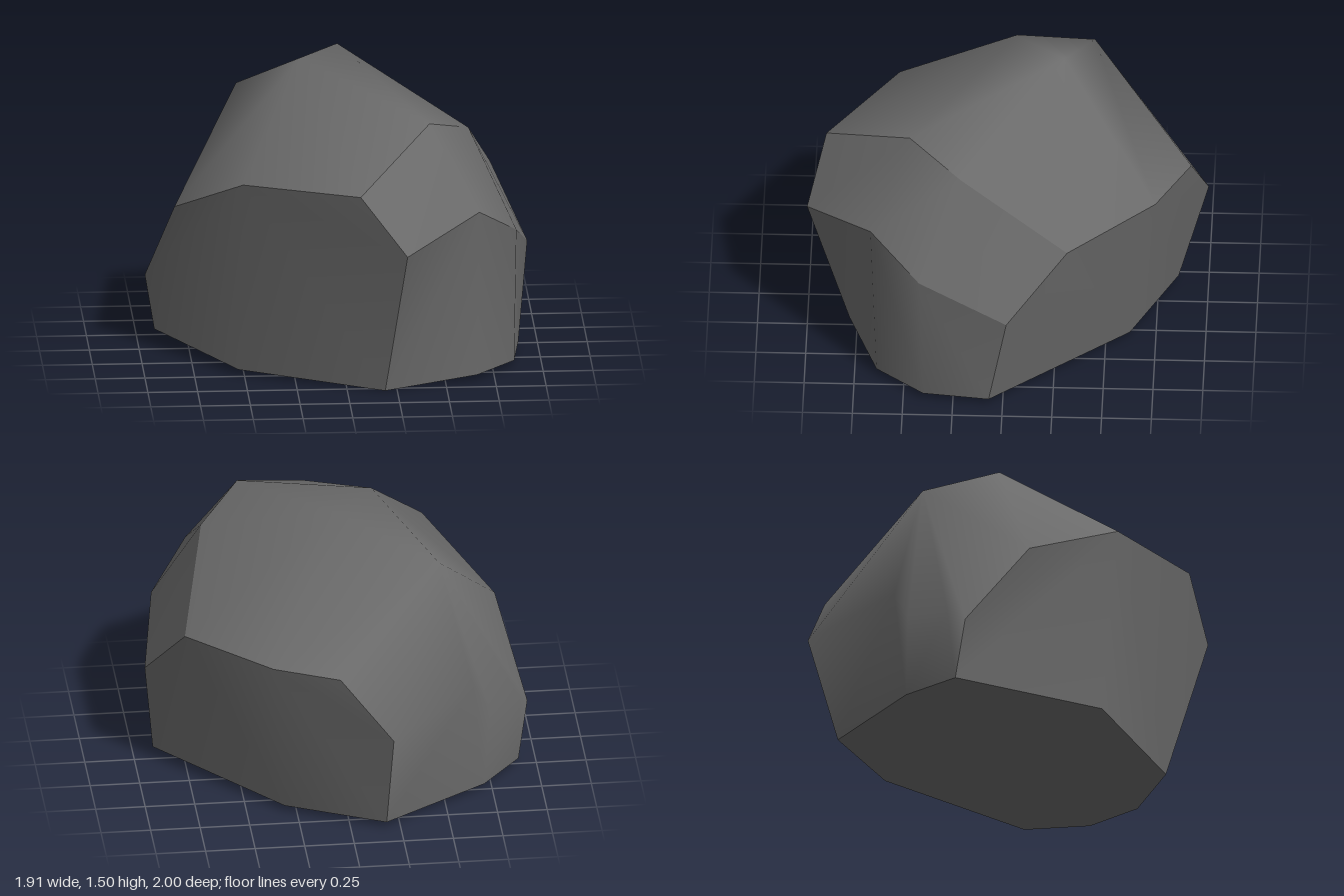
import * as THREE from 'three';

// Corner points of the boulder
const P = {
  // base ring
  a1: [-0.91, 0.03, -0.25], a2: [-0.53, 0.03, 0.48], a3: [0.19, 0, 0.79],
  a4: [0.66, 0.03, 0.64], a5: [0.86, 0.03, 0.40], a6: [0.90, 0.03, 0.07],
  a7: [0.31, 0.03, -0.62], a8: [-0.18, 0.03, -0.85], a9: [-0.71, 0.03, -0.50],
  // waist
  b1: [-0.96, 0.33, -0.20], b2: [-0.83, 0.78, 0.12], b3: [-0.51, 1.02, 0.56],
  b4: [0.06, 1.05, 0.91], b5: [0.29, 0.76, 1.0], b6: [0.67, 0.89, 0.67],
  b7: [0.87, 0.72, 0.42], b8: [0.95, 0.53, -0.02], b9: [0.78, 0.86, -0.32],
  c1: [0.38, 0.88, -0.75], c2: [0.06, 0.89, -0.92], c3: [-0.20, 0.57, -1.0],
  c4: [-0.65, 0.62, -0.56], c5: [-0.74, 0.45, -0.49], c6: [-0.91, 0.40, -0.29],
  // crown
  d1: [0.43, 1.30, 0.48], d2: [0.64, 1.20, 0.22], d3: [-0.19, 1.50, -0.04],
  d4: [0.01, 1.50, -0.28], d5: [-0.49, 1.26, -0.42],
};

// Each patch is smooth inside and sharp against its neighbours
const patches = {
  base: ['a1 a2 a3 a4 a5 a6 a7 a8 a9'],
  frontFace: ['b3 b4 b5 a3 a2 a1 b1 b2'],
  sideFace: ['b6 b5 a3 a4', 'b6 a4 a5 b7', 'b7 a5 a6 b8'],
  chamferFace: ['d1 b4 b5 b6', 'd2 d1 b6 b7', 'd2 b7 b8 b9'],
  backFace: ['b9 b8 a6 a7', 'b9 a7 c1', 'c1 a7 a8 c3 c2'],
  crown: [
    'b4 d1 d3 b3', 'd1 d2 d4 d3', 'd2 b9 d4', 'b9 c1 d4', 'd4 c1 d5', 'c1 c2 d5',
    'd4 d5 d3', 'd3 d5 b2 b3', 'd5 c2 c3 c4', 'd5 c4 c5 c6', 'd5 c6 b1 b2',
    'c3 a8 c4', 'c4 a8 a9 c5', 'c6 c5 a9 a1', 'c6 a1 b1',
  ],
};

// Fans polygons into triangles that share corners and face away from the core
function patchGeometry(polygons) {
  const names = [...new Set(polygons.join(' ').split(' '))];
  const points = names.map((n) => new THREE.Vector3(...P[n]));
  const core = new THREE.Vector3(0, 0.6, 0);
  const index = [];
  for (const polygon of polygons) {
    const ids = polygon.split(' ').map((n) => names.indexOf(n));
    for (let i = 1; i < ids.length - 1; i++) {
      const tri = [ids[0], ids[i], ids[i + 1]];
      const face = new THREE.Triangle(...tri.map((k) => points[k]));
      const normal = face.getNormal(new THREE.Vector3());
      const outward = face.getMidpoint(new THREE.Vector3()).sub(core);
      index.push(...(normal.dot(outward) < 0 ? tri.reverse() : tri));
    }
  }
  const geometry = new THREE.BufferGeometry().setFromPoints(points);
  geometry.setIndex(index);
  geometry.computeVertexNormals();
  return geometry;
}

export function createModel() {
  const stone = new THREE.MeshStandardMaterial({ color: 0x6a6a6a });
  stone.name = 'stone grey';
  const boulder = new THREE.Group();
  boulder.name = 'boulder';
  for (const [name, polygons] of Object.entries(patches)) {
    const mesh = new THREE.Mesh(patchGeometry(polygons), stone);
    mesh.name = name;
    boulder.add(mesh);
  }
  return boulder;
}
